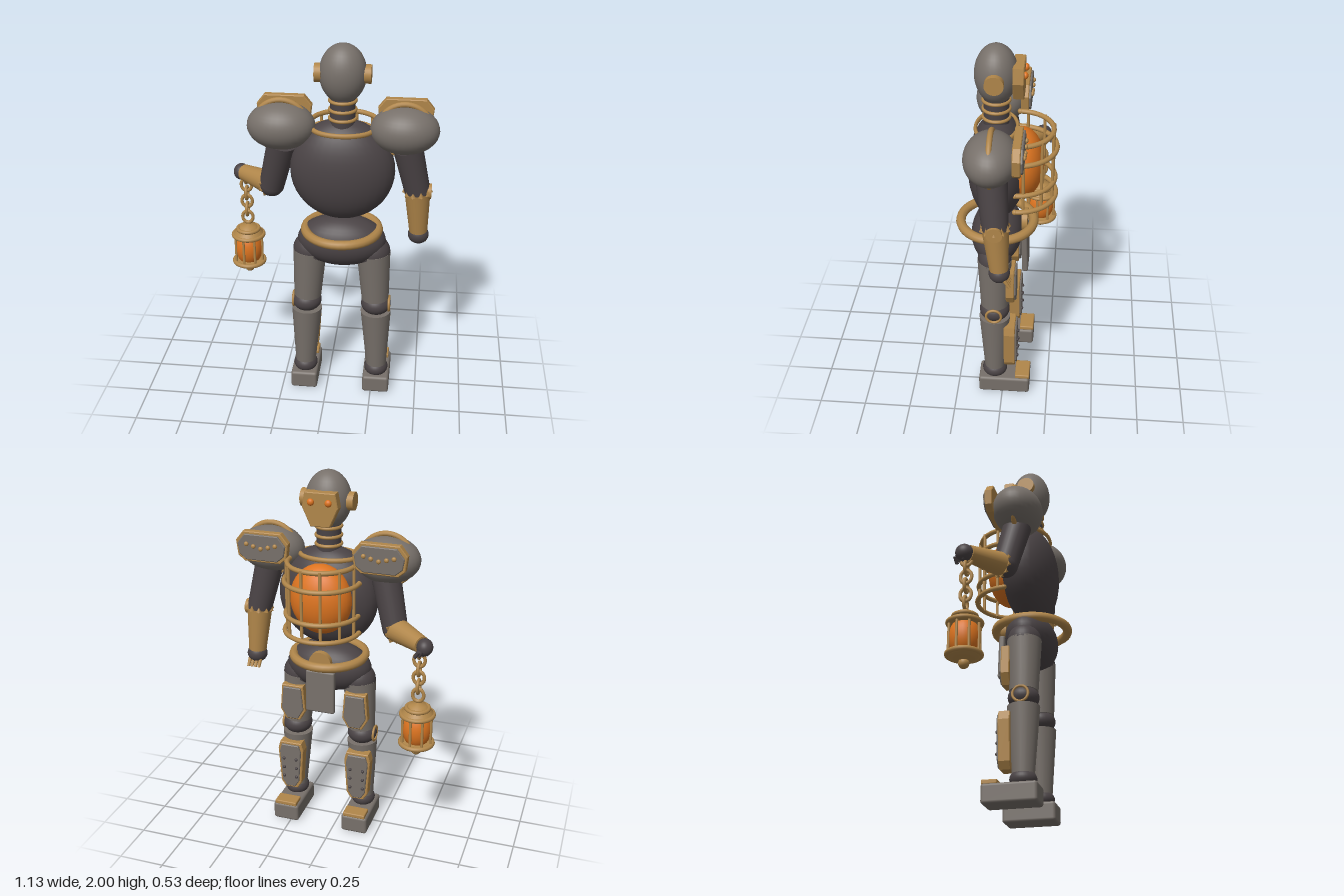
import * as THREE from 'three';
import { RoundedBoxGeometry } from 'three/addons/geometries/RoundedBoxGeometry.js';

const material = (name, color) => Object.assign(new THREE.MeshStandardMaterial({ color }), { name });

export function createModel() {
  const dark = material('dark iron', 0x4a4345);
  const steel = material('grey steel', 0x77706a);
  const brass = material('brass', 0xb0864a);
  const glow = material('orange glow', 0xdd7420);

  const model = new THREE.Group();
  model.name = 'lanternAutomaton';
  // The body axis is the local origin; it faces -z
  const body = new THREE.Group();
  body.name = 'body';
  body.position.set(0.075, 0, 0.045);
  model.add(body);
  const at = (x, y, z) => new THREE.Vector3(x - 0.075, y, z - 0.045);

  const add = (name, geo, mat, x = 0, y = 0, z = 0, parent = body) => {
    const m = new THREE.Mesh(geo, mat);
    m.name = name;
    m.position.set(x, y, z);
    parent.add(m);
    return m;
  };
  const ball = (name, mat, p, rx, ry = rx, rz = rx, parent = body) => {
    const m = add(name, new THREE.SphereGeometry(1, 32, 20), mat, ...p, parent);
    m.scale.set(rx, ry, rz);
    return m;
  };
  // Tapered cylinder from a (radius ra) to b (radius rb)
  const limb = (name, mat, a, b, ra, rb, parent = body) => {
    const d = b.clone().sub(a);
    const m = add(name, new THREE.CylinderGeometry(rb, ra, d.length(), 24), mat, 0, 0, 0, parent);
    m.position.copy(a).addScaledVector(d, 0.5);
    m.quaternion.setFromUnitVectors(new THREE.Vector3(0, 1, 0), d.normalize());
    return m;
  };
  // Horizontal ring
  const ring = (name, mat, p, R, t, parent = body) => {
    const m = add(name, new THREE.TorusGeometry(R, t, 10, 40), mat, ...p, parent);
    m.rotation.x = Math.PI / 2;
    return m;
  };
  // Flat plate mirrored in x, outline given as right half from top to bottom
  const plate = (name, mat, half, depth, x, y, z, grow = 0, parent = body) => {
    const pts = half.map(([px, py]) => [px + grow, py + Math.sign(py) * grow]);
    const all = [...pts, ...pts.slice().reverse().map(([px, py]) => [-px, py])];
    const shape = new THREE.Shape(all.map(p => new THREE.Vector2(...p)));
    const geo = new THREE.ExtrudeGeometry(shape, {
      depth: depth - 0.008, bevelThickness: 0.004, bevelSize: 0.004, bevelOffset: -0.004, bevelSegments: 1,
    });
    return add(name, geo, mat, x, y, z + 0.004, parent);
  };

  // Head, mask and neck
  ball('head', steel, [0, 1.85, 0], 0.118, 0.15, 0.106);
  plate('mask', brass, [[0.08, 0.085], [0.094, 0.01], [0.05, -0.088]], 0.055, 0, 1.83, -0.138);
  for (const s of [-1, 1]) {
    const ear = add('earDisc', new THREE.CylinderGeometry(0.047, 0.047, 0.034, 28), brass, s * 0.123, 1.85, 0);
    ear.rotation.z = Math.PI / 2;
    ball('eye', glow, [s * 0.046, 1.867, -0.142], 0.018, 0.018, 0.014);
  }
  limb('neck', dark, at(0.075, 1.56, 0.045), at(0.075, 1.75, 0.045), 0.064, 0.064);
  for (const y of [1.62, 1.666, 1.713]) ring('neckRing', brass, [0, y, 0], 0.065, 0.009);

  // Torso with glowing core
  ball('torso', dark, [0, 1.34, -0.005], 0.27, 0.273, 0.15);
  ring('collar', brass, [0, 1.56, 0], 0.153, 0.013).scale.y = 0.68;
  ball('core', glow, [0, 1.36, -0.125], 0.165, 0.187, 0.115);

  // Half-round cage over the core
  const hoops = [[1.553, 0.178], [1.457, 0.196], [1.28, 0.19], [1.187, 0.196]];
  for (const [y, R] of hoops) {
    const hoop = add('cageHoop', new THREE.TorusGeometry(R, 0.013, 10, 36, Math.PI), brass, 0, y, -0.105);
    hoop.rotation.x = -Math.PI / 2;
    for (const s of [-1, 1]) ball('hoopEnd', brass, [s * R, y, -0.105], 0.014);
  }
  for (let i = 0; i < 6; i++) {
    const a = Math.PI * (0.07 + 0.172 * i);
    const p = y => new THREE.Vector3(Math.cos(a) * 0.186, y, -0.105 - Math.sin(a) * 0.186);
    limb('cageBar', brass, p(1.18), p(1.56), 0.008, 0.008);
  }

  // Pelvis, belt and hanging rear plate
  ball('pelvis', dark, [0, 0.935, 0], 0.235, 0.14, 0.135);
  ring('belt', brass, [0, 1, 0], 0.192, 0.025);
  const buckle = add('buckle', new THREE.CylinderGeometry(0.06, 0.06, 0.03, 28), brass, 0, 1.01, -0.145);
  buckle.rotation.x = Math.PI / 2;
  const flap = add('hipFlap', new RoundedBoxGeometry(0.16, 0.24, 0.032, 2, 0.01), steel, 0, 0.84, -0.15);
  flap.rotation.x = 0.03;

  // Legs
  const V = (x, y, z = 0) => new THREE.Vector3(x, y, z);
  for (const s of [-1, 1]) {
    const leg = new THREE.Group();
    leg.name = s > 0 ? 'leftLeg' : 'rightLeg';
    body.add(leg);
    ball('hip', dark, [s * 0.165, 0.87, 0], 0.095, 0.095, 0.088, leg);
    limb('thigh', steel, V(s * 0.185, 0.585), V(s * 0.17, 0.87), 0.074, 0.09, leg);
    ball('knee', dark, [s * 0.19, 0.55, 0], 0.081, 0.062, 0.08, leg);
    const cap = add('kneeRing', new THREE.TorusGeometry(0.04, 0.007, 8, 28), brass, s * 0.262, 0.55, 0, leg);
    cap.rotation.y = Math.PI / 2;
    limb('shin', steel, V(s * 0.2, 0.15), V(s * 0.19, 0.503), 0.056, 0.083, leg);
    ball('ankle', dark, [s * 0.2, 0.13, 0], 0.066, 0.05, 0.068, leg);
    add('foot', new RoundedBoxGeometry(0.147, 0.1, 0.28, 3, 0.015), steel, s * 0.202, 0.055, -0.055, leg);
    add('toeCap', new RoundedBoxGeometry(0.125, 0.024, 0.08, 2, 0.006), brass, s * 0.202, 0.114, -0.155, leg);

    // Armour plates strapped to the legs
    const thighShape = [[0.05, 0.095], [0.062, -0.035], [0.03, -0.092]];
    plate('thighTrim', brass, thighShape, 0.045, s * 0.178, 0.72, -0.107, 0.01, leg);
    plate('thighPlate', steel, thighShape, 0.014, s * 0.178, 0.72, -0.117, 0, leg);
    const shinShape = [[0.05, 0.135], [0.062, 0.09], [0.048, -0.095], [0.025, -0.132]];
    plate('shinTrim', brass, shinShape, 0.06, s * 0.195, 0.32, -0.113, 0.012, leg);
    plate('shinPlate', steel, shinShape, 0.014, s * 0.195, 0.32, -0.123, 0, leg);
    for (const y of [0.255, 0.312, 0.368]) for (const k of [-1, 1])
      ball('shinRivet', dark, [s * 0.195 + k * 0.036, y, -0.125], 0.009, 0.009, 0.008, leg);
  }

  // Shoulders with ridge hoop and riveted rear plate
  for (const s of [-1, 1]) {
    const x = s * 0.311;
    ball('shoulder', steel, [x, 1.567, 0], 0.174, 0.122, 0.132);
    add('shoulderHoop', new THREE.TorusGeometry(0.134, 0.014, 10, 40), brass, x, 1.567, 0);
    const outline = [[0.09, 0.07], [0.13, 0.02], [0.12, -0.035], [0.085, -0.065]];
    plate('shoulderTrim', brass, outline, 0.04, x, 1.605, -0.147, 0.012);
    plate('shoulderPlate', steel, outline, 0.014, x, 1.605, -0.158);
    [-0.078, -0.04, 0, 0.04, 0.078].forEach((d, i) =>
      ball('shoulderRivet', brass, [x + d, 1.605 + 0.01 * Math.abs(i - 2), -0.162], 0.012, 0.012, 0.009));
  }

  // Brass gauntlet with a toothed cuff
  const gauntlet = (elbow, wrist, re, rw) => {
    const d = wrist.clone().sub(elbow);
    const g = new THREE.Group();
    g.name = 'gauntlet';
    g.position.copy(elbow);
    g.quaternion.setFromUnitVectors(new THREE.Vector3(0, -1, 0), d.clone().normalize());
    body.add(g);
    limb('forearm', brass, V(0, 0), V(0, -d.length()), re, rw, g);
    for (let i = 0; i < 10; i++) {
      const a = i * Math.PI / 5;
      const tooth = add('cuffTooth', new THREE.ConeGeometry(0.017, 0.036, 4), brass,
        Math.cos(a) * (re - 0.004), 0.012, Math.sin(a) * (re - 0.004), g);
      tooth.rotation.y = -a;
    }
  };

  // Left arm, hanging
  const elbowL = at(0.462, 1.225, 0.02), handL = at(0.477, 0.965, 0);
  limb('upperArm', dark, at(0.405, 1.47, 0.04), elbowL, 0.076, 0.066);
  ball('elbow', dark, elbowL.toArray(), 0.066);
  gauntlet(elbowL, handL, 0.067, 0.046);
  const elbowCap = add('elbowDisc', new THREE.CylinderGeometry(0.04, 0.04, 0.02, 28), brass, elbowL.x + 0.062, 1.228, elbowL.z);
  elbowCap.rotation.z = Math.PI / 2;
  ball('hand', dark, handL.toArray(), 0.055, 0.05, 0.053);
  for (let i = 0; i < 4; i++) {
    const x = 0.449 + i * 0.02;
    limb('finger', brass, at(x, 0.945, -0.025), at(x + 0.003, 0.9, -0.052), 0.01, 0.008);
  }

  // Right arm, holding the lantern out
  const elbowR = at(-0.3, 1.215, -0.005), handR = at(-0.495, 1.205, -0.165);
  limb('upperArm', dark, at(-0.235, 1.47, 0.04), elbowR, 0.076, 0.066);
  ball('elbow', dark, elbowR.toArray(), 0.066);
  gauntlet(at(-0.315, 1.215, -0.02), at(-0.475, 1.208, -0.148), 0.064, 0.044);
  ball('hand', dark, handR.toArray(), 0.042, 0.045, 0.046);
  for (let i = 0; i < 4; i++) {
    const t = i * 0.016;
    limb('finger', dark, at(-0.525 + t, 1.2, -0.17 - t), at(-0.505 + t, 1.165, -0.165 - t), 0.011, 0.009);
  }

  // Chain and lantern
  const lantern = new THREE.Group();
  lantern.name = 'lantern';
  lantern.position.copy(at(-0.47, 0, -0.16));
  body.add(lantern);
  for (let i = 0; i < 6; i++) {
    const link = add('chainLink', new THREE.TorusGeometry(0.029, 0.009, 8, 24), brass, 0, 1.178 - i * 0.049, 0, lantern);
    link.scale.y = 1.2;
    link.rotation.y = i % 2 ? 0 : Math.PI / 2;
  }
  const lathe = (name, pts) => add(name,
    new THREE.LatheGeometry(pts.map(p => new THREE.Vector2(...p)), 28), brass, 0, 0, 0, lantern);
  lathe('lanternCap', [[0, 0.815], [0.085, 0.815], [0.085, 0.835], [0.06, 0.85], [0.045, 0.88], [0, 0.888]]);
  lathe('lanternBase', [[0, 0.625], [0.035, 0.63], [0.07, 0.648], [0.085, 0.66], [0.085, 0.672], [0, 0.672]]);
  ring('capRing', brass, [0, 0.86, 0], 0.058, 0.011, lantern);
  ring('upperRing', brass, [0, 0.825, 0], 0.083, 0.012, lantern);
  ring('lowerRing', brass, [0, 0.66, 0], 0.083, 0.013, lantern);
  ball('flame', glow, [0, 0.745, 0], 0.078, 0.11, 0.078, lantern);
  for (let i = 0; i < 8; i++) {
    const a = i * Math.PI / 4 + 0.2, x = Math.cos(a) * 0.079, z = Math.sin(a) * 0.079;
    limb('lanternBar', brass, V(x, 0.66, z), V(x, 0.825, z), 0.007, 0.007, lantern);
  }
  ball('finial', brass, [0, 0.615, 0], 0.027, 0.027, 0.027, lantern);

  return model;
}
